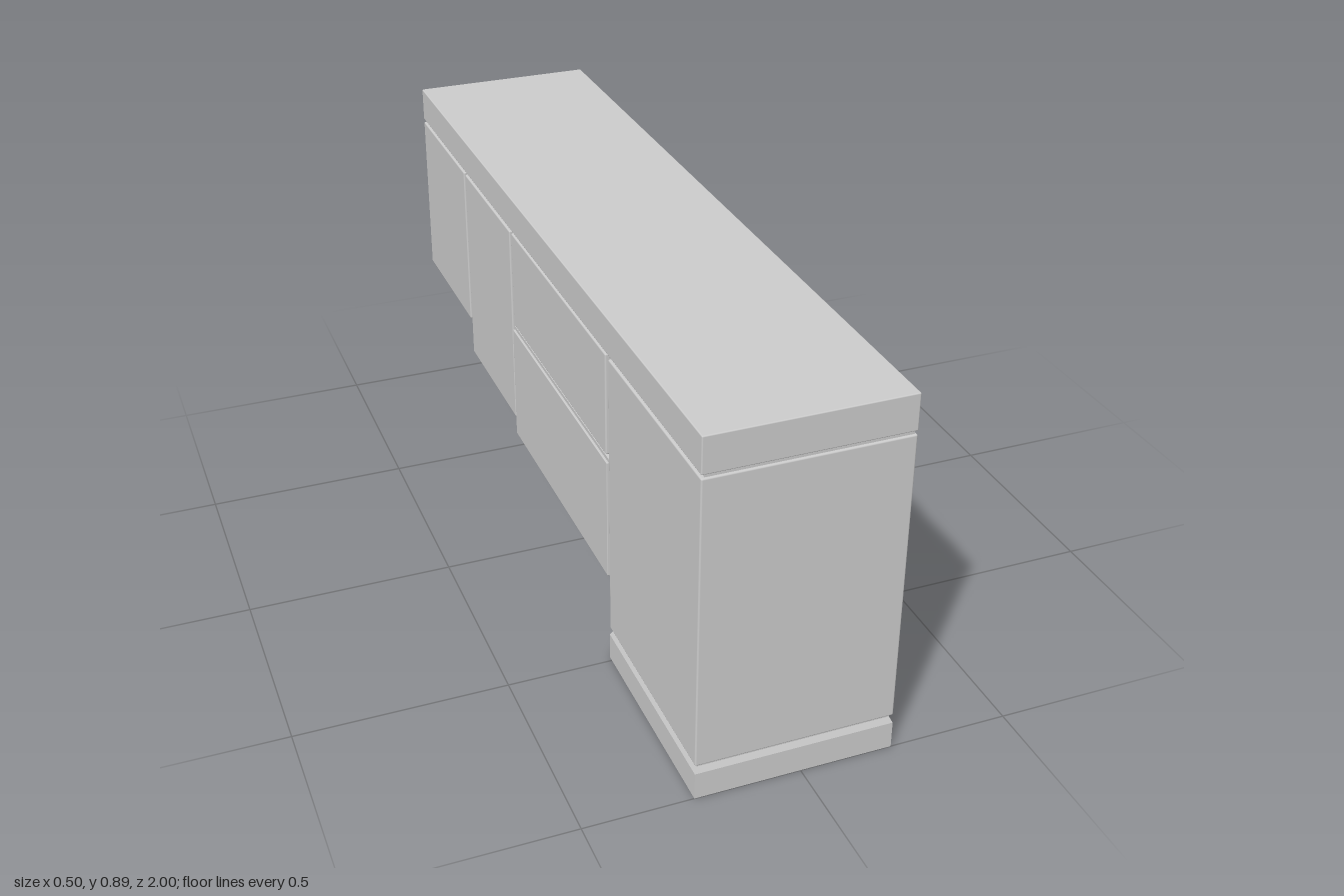
import * as THREE from 'three';
import { RoundedBoxGeometry } from 'three/addons/geometries/RoundedBoxGeometry.js';

const grey = new THREE.MeshStandardMaterial({ color: 0xcccccc });
const BACK = -0.245, FRONT = 0.218;

export function createModel() {
  const group = new THREE.Group();

  const add = (name, geometry, parent = group) => {
    const mesh = new THREE.Mesh(geometry, grey);
    mesh.name = name;
    parent.add(mesh);
    return mesh;
  };

  // Softly edged block given by its limits along each axis
  const block = (name, [x0, x1], [y0, y1], [z0, z1], radius = 0.004) => {
    const geo = radius > 0
      ? new RoundedBoxGeometry(x1 - x0, y1 - y0, z1 - z0, 2, radius)
      : new THREE.BoxGeometry(x1 - x0, y1 - y0, z1 - z0);
    geo.translate((x0 + x1) / 2, (y0 + y1) / 2, (z0 + z1) / 2);
    return add(name, geo);
  };

  // Worktop, and the recessed carcass that shows in the grooves between units
  block('worktop', [BACK - 0.002, FRONT], [0.803, 0.89], [-1, 1], 0.003);
  block('worktopGroove', [BACK + 0.007, FRONT - 0.005], [0.78, 0.81], [-0.995, 0.995], 0);
  block('carcass', [BACK + 0.008, FRONT - 0.008], [0.542, 0.8], [-0.99, 0.6], 0);

  // Closed units
  const depth = [BACK - 0.002, FRONT];
  block('tallCabinet', depth, [0.087, 0.795], [0.488, 1]);
  block('drawer', depth, [0.545, 0.797], [-0.195, 0.47]);
  block('mediumCabinet', depth, [0.27, 0.795], [-0.592, -0.21]);
  block('shortCabinet', depth, [0.365, 0.795], [-1, -0.605]);

  // Plinth with a sloping upper edge, as stacked rectangular cross-sections
  const rings = [[0, 0], [0.066, 0], [0.08, 0.007], [0.09, 0.007]];
  rings.slice(1).forEach(([y1, in1], i) => {
    const [y0, in0] = rings[i];
    const geo = new THREE.BoxGeometry(1, 1, 1).toNonIndexed();
    const p = geo.attributes.position;
    for (let k = 0; k < p.count; k++) {
      const top = p.getY(k) > 0, inset = top ? in1 : in0;
      p.setXYZ(k,
        p.getX(k) > 0 ? FRONT - inset : BACK - 0.002 + inset,
        top ? y1 : y0,
        p.getZ(k) > 0 ? 1 - inset : 0.487 + inset);
    }
    geo.computeVertexNormals();
    add('plinth', geo);
  });

  // Open shelf unit: a frame with two compartments, and its back panel
  const rect = (path, z0, z1, y0, y1) => {
    path.moveTo(-z1, y0);
    path.lineTo(-z0, y0);
    path.lineTo(-z0, y1);
    path.lineTo(-z1, y1);
    path.closePath();
    return path;
  };
  const frame = rect(new THREE.Shape(), -0.197, 0.483, 0.23, 0.541);
  for (const [y0, y1] of [[0.245, 0.37], [0.386, 0.522]])
    frame.holes.push(rect(new THREE.Path(), -0.18, 0.467, y0, y1));
  const frameGeo = new THREE.ExtrudeGeometry(frame, { depth: FRONT - 0.004 - BACK, bevelEnabled: false });
  frameGeo.rotateY(Math.PI / 2).translate(BACK, 0, 0);
  add('openShelfFrame', frameGeo);
  block('openShelfBack', [-0.25, -0.238], [0.23, 0.532], [-0.197, 0.483], 0.002);

  // Bar handles with bent ends
  const handle = (name, y, z0, z1) => {
    const bar = new THREE.Group();
    bar.name = name;
    const v = (x, z) => new THREE.Vector3(x, 0, z);
    const path = new THREE.CurvePath();
    const a = 0.008, b = 0.241, r = 0.012;
    path.add(new THREE.LineCurve3(v(FRONT - 0.004, z0 + a), v(b - r, z0 + a)));
    path.add(new THREE.QuadraticBezierCurve3(v(b - r, z0 + a), v(b, z0 + a), v(b, z0 + a + r)));
    path.add(new THREE.LineCurve3(v(b, z0 + a + r), v(b, z1 - a - r)));
    path.add(new THREE.QuadraticBezierCurve3(v(b, z1 - a - r), v(b, z1 - a), v(b - r, z1 - a)));
    path.add(new THREE.LineCurve3(v(b - r, z1 - a), v(FRONT - 0.004, z1 - a)));
    add('handleRod', new THREE.TubeGeometry(path, 160, 0.006, 10), bar);
    // Thicker grip along the middle
    const grip = add('handleGrip', new THREE.CapsuleGeometry(0.009, z1 - z0 - 0.065, 6, 14), bar);
    grip.rotation.x = Math.PI / 2;
    grip.position.set(b, 0, (z0 + z1) / 2);
    bar.position.y = y;
    group.add(bar);
  };
  handle('tallCabinetHandle', 0.162, 0.56, 0.92);
  handle('drawerHandle', 0.603, -0.04, 0.32);
  handle('mediumCabinetHandle', 0.336, -0.547, -0.25);
  handle('shortCabinetHandle', 0.434, -0.95, -0.655);

  return group;
}
